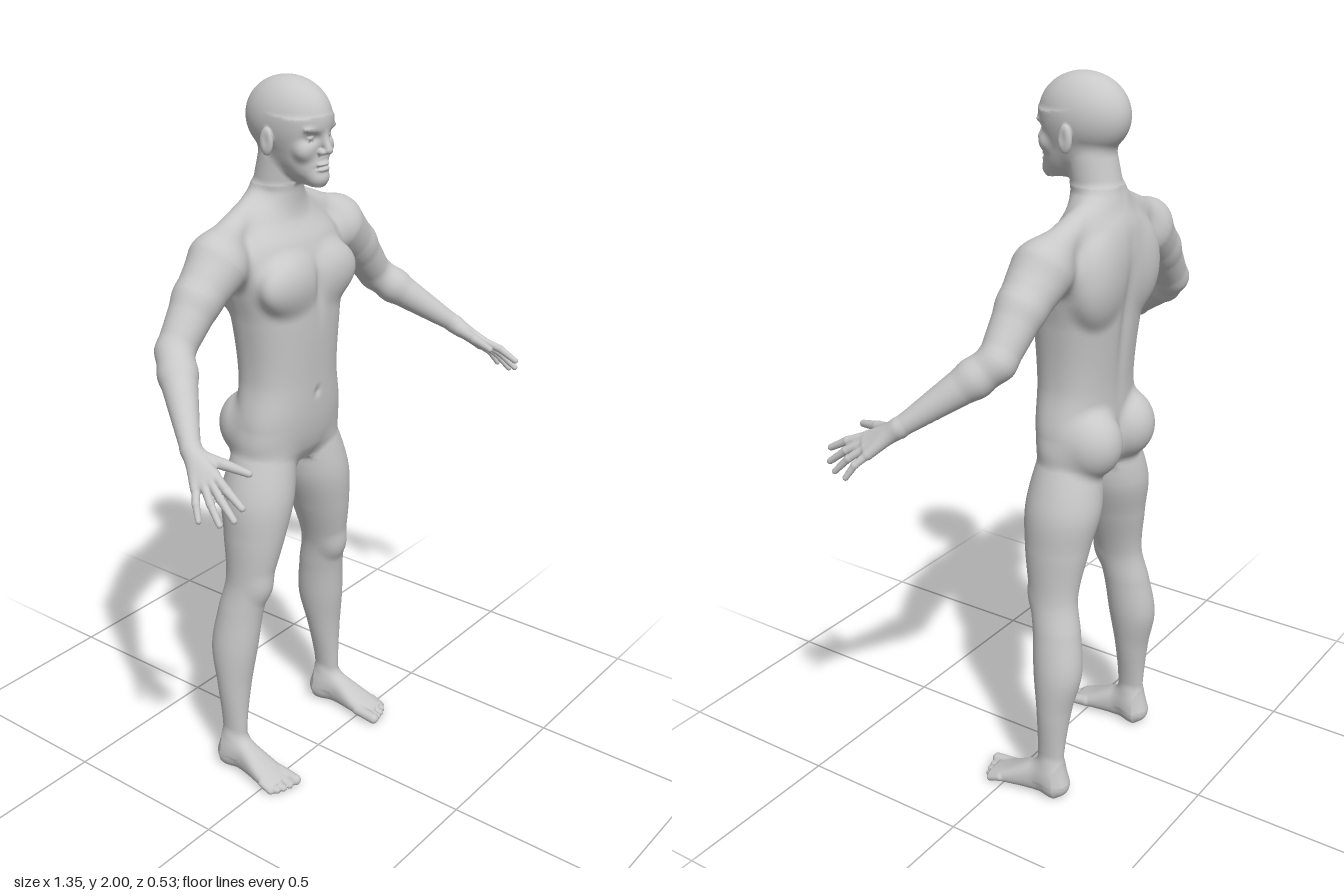
import * as THREE from 'three';

// ---- Blending helpers: each adds one shape that changes the body's distance field ----
const shapes = [];

const smin = (a, b, k) => {
  const h = Math.max(k - Math.abs(a - b), 0) / k;
  return Math.min(a, b) - h * h * k / 4;
};

// Rounded tube through points [x, y, z, radius]; k is the softness of the blend
function tube(k, inner, ...pts) {
  shapes.push((f, x, y, z) => {
    let d = 1e3;
    for (let i = 0; i < pts.length - 1; i++) {
      const a = pts[i], b = pts[i + 1];
      const ex = b[0] - a[0], ey = b[1] - a[1], ez = b[2] - a[2];
      const px = x - a[0], py = y - a[1], pz = z - a[2];
      const t = Math.min(1, Math.max(0, (px * ex + py * ey + pz * ez) / (ex * ex + ey * ey + ez * ez)));
      d = smin(d, Math.hypot(px - ex * t, py - ey * t, pz - ez * t) - a[3] - (b[3] - a[3]) * t, inner);
    }
    return smin(f, d, k);
  });
}

function ball(k, cx, cy, cz, rx, ry, rz) {
  shapes.push((f, x, y, z) => {
    const a = (x - cx) / rx, b = (y - cy) / ry, c = (z - cz) / rz;
    const k0 = Math.hypot(a, b, c), k1 = Math.hypot(a / rx, b / ry, c / rz);
    return smin(f, k1 < 1e-6 ? -Math.min(rx, ry, rz) : k0 * (k0 - 1) / k1, k);
  });
}

// Soft hollow
function dent(depth, cx, cy, cz, rx, ry, rz) {
  shapes.push((f, x, y, z) => {
    const a = (x - cx) / rx, b = (y - cy) / ry, c = (z - cz) / rz;
    return f + depth * Math.exp(-a * a - b * b - c * c);
  });
}

// Cross-sections [t, half width, v min, v max], smoothly joined along y or z; centre(t) gives x
function loft(k, axis, power, centre, ...rows) {
  const section = (t) => {
    let i = 0;
    while (i < rows.length - 2 && t > rows[i + 1][0]) i++;
    const a = rows[i], b = rows[i + 1], p = rows[i - 1] || a, q = rows[i + 2] || b;
    const len = b[0] - a[0], w = Math.min(1, Math.max(0, (t - a[0]) / len));
    const w2 = w * w, w3 = w2 * w;
    return [1, 2, 3].map((j) => {
      const m0 = (b[j] - p[j]) / (b[0] - p[0]) * len, m1 = (q[j] - a[j]) / (q[0] - a[0]) * len;
      return (2 * w3 - 3 * w2 + 1) * a[j] + (w3 - 2 * w2 + w) * m0 + (3 * w2 - 2 * w3) * b[j] + (w3 - w2) * m1;
    });
  };
  let lastT = NaN, s;
  shapes.push((f, x, y, z) => {
    const t = axis === 'y' ? y : z, v = axis === 'y' ? z : y;
    if (t !== lastT) { s = section(t); lastT = t; }
    const ru = s[0], rv = (s[2] - s[1]) / 2;
    const a = Math.abs(x - centre(t)) / ru, b = Math.abs(v - (s[1] + s[2]) / 2) / rv;
    const k0 = Math.pow(Math.pow(a, power) + Math.pow(b, power), 1 / power);
    let d = -Math.min(ru, rv);
    if (k0 > 1e-3) {
      const g = Math.hypot(Math.pow(a, power - 1) / ru, Math.pow(b, power - 1) / rv) / Math.pow(k0, power - 1);
      d = Math.max(d, (k0 - 1) / g);
    }
    return smin(f, Math.max(d, rows[0][0] - t, t - rows[rows.length - 1][0]), k);
  });
}

// ---- Anatomy of the left half (+x); the field is symmetric ----
// Trunk, neck, shoulder slope, chest, shoulder blade, spine, breastbone, navel
loft(0.01, 'y', 2.35, () => 0,
  [0.95, 0.06, -0.18, -0.05], [1.0, 0.165, -0.205, -0.022], [1.08, 0.176, -0.21, -0.006],
  [1.21, 0.155, -0.212, 0], [1.38, 0.17, -0.228, 0.006], [1.5, 0.197, -0.243, 0],
  [1.58, 0.19, -0.243, -0.028], [1.64, 0.138, -0.228, -0.064], [1.71, 0.055, -0.185, -0.085]);
tube(0.03, 0.008, [0, 1.62, -0.155, 0.068], [0, 1.79, -0.118, 0.064]);
tube(0.03, 0.008, [0.03, 1.685, -0.16, 0.035], [0.25, 1.585, -0.14, 0.045]);
ball(0.03, 0.09, 1.48, -0.03, 0.095, 0.072, 0.047);
ball(0.03, 0.1, 1.5, -0.195, 0.08, 0.11, 0.052);
dent(0.012, 0, 1.38, -0.24, 0.022, 0.17, 0.05);
dent(0.007, 0, 1.46, 0.01, 0.018, 0.07, 0.04);
dent(0.008, 0, 1.165, 0, 0.01, 0.012, 0.03);

// Leg, buttock, kneecap
loft(0.025, 'y', 2, (y) => 0.224 - 0.13 * Math.pow(Math.max(y, 0), 1.9),
  [0.06, 0.03, -0.185, -0.095], [0.13, 0.028, -0.18, -0.1], [0.28, 0.05, -0.195, -0.095],
  [0.4, 0.063, -0.219, -0.08], [0.52, 0.06, -0.205, -0.067], [0.62, 0.057, -0.187, -0.045],
  [0.76, 0.081, -0.205, -0.02], [0.88, 0.1, -0.222, -0.012], [1.05, 0.08, -0.19, -0.04]);
ball(0.02, 0.085, 1.055, -0.165, 0.086, 0.1, 0.097);
ball(0.03, 0.17, 0.61, -0.075, 0.03, 0.04, 0.028);

// Heel, foot, toes
tube(0.02, 0.008, [0.222, 0.04, -0.159, 0.039], [0.222, 0.1, -0.145, 0.03]);
loft(0.025, 'z', 2.3, (z) => 0.23 + 0.05 * z,
  [-0.16, 0.034, 0, 0.1], [-0.1, 0.035, 0, 0.1], [0, 0.048, 0, 0.05], [0.045, 0.042, 0, 0.03]);
for (let i = 0; i < 5; i++) {
  const x = 0.194 + 0.026 * i - 0.0015 * i * i, r = i ? 0.0103 : 0.016;
  tube(0.006, 0.008, [x, 0.024, 0.005, r], [x, r + 0.001, 0.066 - 0.0018 * i * i, r]);
}

// Arm
tube(0.04, 0.012, [0.25, 1.552, -0.13, 0.079], [0.33, 1.485, -0.128, 0.063],
  [0.425, 1.375, -0.122, 0.048], [0.46, 1.335, -0.08, 0.049], [0.575, 1.215, 0.062, 0.025]);

// Palm and gently bent fingers, index to little; then the thumb
for (let i = 0; i < 4; i++) {
  const r = 0.0108 - 0.0005 * i;
  const knuckle = [0.59 + 0.012 * i, 1.178 - 0.01 * i, 0.15 - 0.003 * i * i];
  const tip = [0.613 + 0.0175 * i, 1.13 - 0.036 * i + 0.0075 * i * i, 0.255 - 0.01 * i * i];
  const bend = knuckle.map((v, a) => (v + tip[a]) / 2 + 0.006 - 0.002 * a);
  tube(0.012, 0.008, [0.575, 1.213, 0.065, 0.02], [...knuckle, 0.0135]);
  tube(0.005, 0.003, [...knuckle, r * 1.15], [...bend, r], [...tip, r * 0.8]);
}
tube(0.012, 0.004, [0.57, 1.2, 0.09, 0.017], [0.553, 1.19, 0.15, 0.0135], [0.537, 1.178, 0.212, 0.009]);

// Skull, face, chin, cheek
ball(0.02, 0, 1.895, -0.095, 0.088, 0.105, 0.125);
loft(0.02, 'y', 2.2, () => 0,
  [1.735, 0.025, -0.06, 0.01], [1.765, 0.049, -0.095, 0.017], [1.82, 0.068, -0.14, 0.014],
  [1.9, 0.078, -0.14, 0.018]);
ball(0.02, 0, 1.75, 0, 0.028, 0.02, 0.024);
ball(0.02, 0.045, 1.825, -0.012, 0.022, 0.022, 0.02);
// Eye socket, brow, eyeball
dent(0.011, 0.034, 1.857, 0.012, 0.02, 0.013, 0.025);
ball(0.01, 0.034, 1.88, 0.006, 0.026, 0.006, 0.011);
ball(0.003, 0.034, 1.857, -0.003, 0.016, 0.008, 0.012);
// Nose, nostril, lips
tube(0.012, 0.008, [0, 1.872, 0.014, 0.008], [0, 1.825, 0.033, 0.011]);
ball(0.006, 0.013, 1.82, 0.021, 0.009, 0.008, 0.011);
for (const y of [1.788, 1.775]) ball(0.006, 0, y, 0.014, 0.023, 0.006, 0.012);
dent(0.004, 0, 1.7815, 0.024, 0.024, 0.003, 0.02);
// Ear
ball(0.006, 0.091, 1.845, -0.095, 0.011, 0.036, 0.02);
dent(0.006, 0.103, 1.85, -0.092, 0.01, 0.018, 0.009);

// ---- Surface ----
const field = (x, y, z) => {
  let f = 1e3;
  for (const shape of shapes) f = shape(f, Math.abs(x), y, z);
  return Math.max(f, -y); // flat soles
};

const gradient = (x, y, z, e) => [
  (field(x + e, y, z) - field(x - e, y, z)) / (2 * e),
  (field(x, y + e, z) - field(x, y - e, z)) / (2 * e),
  (field(x, y, z + e) - field(x, y, z - e)) / (2 * e)];

// Wraps the body surface inside a box with a quad grid of spacing h
function skin(lo, hi, h) {
  const [nx, ny, nz] = lo.map((v, i) => Math.ceil((hi[i] - v) / h) + 1);
  const step = [1, nx, nx * ny], vals = new Float32Array(nx * ny * nz);
  const cell = new Int32Array(vals.length).fill(-1), pos = [], nor = [], idx = [];
  const each = (mx, my, mz, visit) => {
    for (let k = 0; k < mz; k++) for (let j = 0; j < my; j++) for (let i = 0; i < mx; i++)
      visit(i + j * step[1] + k * step[2], [i, j, k]);
  };
  each(nx, ny, nz, (n, at) => { vals[n] = field(...at.map((v, q) => lo[q] + v * h)); });
  // one vertex in every cell the surface crosses
  each(nx - 1, ny - 1, nz - 1, (n, at) => {
    const sum = [0, 0, 0];
    let count = 0;
    for (let c = 0; c < 8; c++) for (let a = 0; a < 3; a++) {
      if (c >> a & 1) continue;
      const o = [c & 1, c >> 1 & 1, c >> 2 & 1];
      const m = n + o[0] + o[1] * step[1] + o[2] * step[2], v0 = vals[m], v1 = vals[m + step[a]];
      if ((v0 < 0) === (v1 < 0)) continue;
      o[a] = v0 / (v0 - v1);
      o.forEach((v, q) => { sum[q] += v; });
      count++;
    }
    if (!count) return;
    const p = at.map((v, q) => lo[q] + (v + sum[q] / count) * h);
    const g = gradient(...p, h * 0.3), len = Math.hypot(...g) + 1e-6;
    const move = Math.max(-h / 2, Math.min(h / 2, field(...p) / len));
    const onSkin = p.map((v, q) => v - g[q] / len * move);
    const normal = new THREE.Vector3(...gradient(...onSkin, h * 0.3)).normalize();
    cell[n] = pos.length / 3;
    pos.push(...onSkin);
    nor.push(...normal);
  });
  // one quad around every grid edge the surface crosses
  each(nx - 1, ny - 1, nz - 1, (n, at) => {
    for (let a = 0; a < 3; a++) {
      const b = (a + 1) % 3, c = (a + 2) % 3;
      if (!at[b] || !at[c] || (vals[n] < 0) === (vals[n + step[a]] < 0)) continue;
      const q = [cell[n], cell[n - step[b]], cell[n - step[b] - step[c]], cell[n - step[c]]];
      if (vals[n] >= 0) q.reverse();
      idx.push(q[0], q[1], q[2], q[0], q[2], q[3]);
    }
  });
  const geo = new THREE.BufferGeometry();
  geo.setAttribute('position', new THREE.Float32BufferAttribute(pos, 3));
  geo.setAttribute('normal', new THREE.Float32BufferAttribute(nor, 3));
  return geo.setIndex(idx);
}

function mirrored(geo) {
  const out = geo.clone().scale(-1, 1, 1), normal = out.attributes.normal;
  for (let i = 0; i < normal.count; i++) normal.setX(i, -geo.attributes.normal.getX(i));
  return out.setIndex(Array.from(geo.index.array).reverse());
}

export function createModel() {
  const group = new THREE.Group();
  group.name = 'humanFigure';
  const grey = new THREE.MeshStandardMaterial({ color: 0xc8c8c8 });
  grey.name = 'plainGrey';
  const add = (name, geo) => {
    const mesh = new THREE.Mesh(geo, grey);
    mesh.name = name;
    group.add(mesh);
  };
  const addPair = (name, geo) => {
    add('left' + name, geo);
    add('right' + name, mirrored(geo));
  };
  add('head', skin([-0.126, 1.685, -0.24], [0.126, 2.02, 0.065], 0.0056));
  add('torso', skin([-0.23, 0.945, -0.29], [0.23, 1.71, 0.05], 0.01));
  addPair('Arm', skin([0.21, 1.15, -0.28], [0.65, 1.7, 0.08], 0.01));
  addPair('Hand', skin([0.5, 1.05, 0.06], [0.7, 1.26, 0.28], 0.0042));
  addPair('Leg', skin([-0.01, 0.095, -0.29], [0.31, 0.97, 0.03], 0.01));
  addPair('Foot', skin([0.15, -0.013, -0.22], [0.31, 0.12, 0.1], 0.006));
  return group;
}
